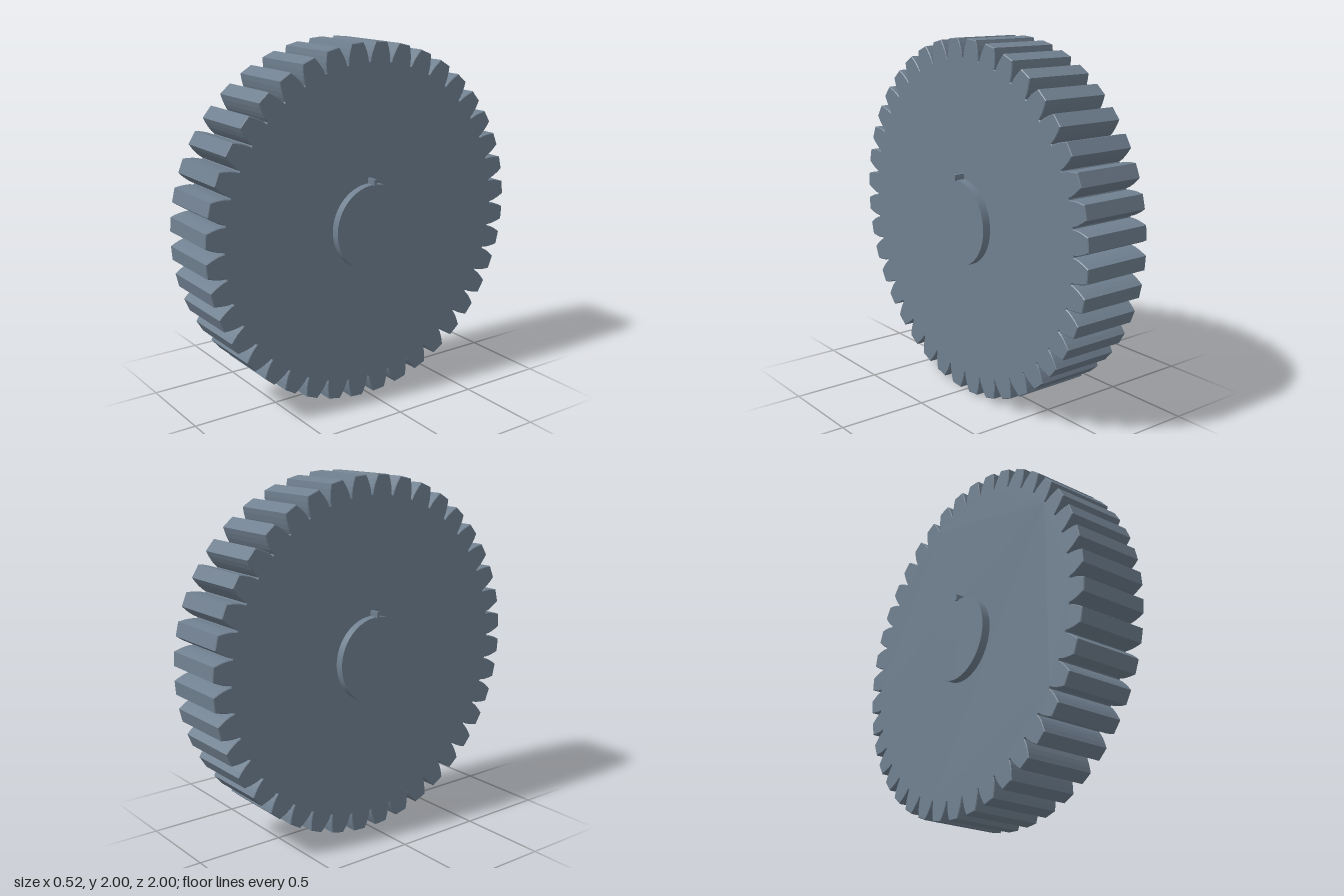
import * as THREE from 'three';

const TEETH = 40;
const TIP = 1, BASE = 0.895;
const TIP_HALF = THREE.MathUtils.degToRad(2.2);
const HALF_WIDTH = 0.2, BEVEL = 0.004;

// Involute function of the pressure angle at radius r
function involute(r) {
  const a = Math.acos(Math.min(1, BASE / r));
  return Math.tan(a) - a;
}

// Half of a tooth's angular width at radius r
const toothHalf = r => TIP_HALF + involute(TIP) - involute(r);

// Outline of the toothed wheel, with gaps on the axes
function gearShape() {
  const radii = [BASE, 0.92, 0.945, 0.973, TIP];
  const points = [];
  const add = (r, a) => points.push(new THREE.Vector2(r * Math.cos(a), r * Math.sin(a)));
  for (let i = 0; i < TEETH; i++) {
    const mid = (i + 0.5) * 2 * Math.PI / TEETH;
    radii.forEach(r => add(r, mid - toothHalf(r)));
    [...radii].reverse().forEach(r => add(r, mid + toothHalf(r)));
  }
  return new THREE.Shape(points);
}

export function createModel() {
  const group = new THREE.Group();
  group.name = 'gear';
  const steel = new THREE.MeshStandardMaterial({ color: 0x708090 });
  steel.name = 'slate steel';

  const addPart = (name, geometry, y) => {
    const mesh = new THREE.Mesh(geometry, steel);
    mesh.name = name;
    mesh.position.y = y;
    group.add(mesh);
  };

  // Spur wheel, axle along x, with a fine edge break on both faces
  const depth = 2 * (HALF_WIDTH - BEVEL);
  const wheel = new THREE.ExtrudeGeometry(gearShape(), {
    depth, bevelEnabled: true, bevelSegments: 1,
    bevelThickness: BEVEL, bevelSize: BEVEL, bevelOffset: -BEVEL,
  });
  wheel.translate(0, 0, -depth / 2).rotateY(Math.PI / 2);
  addPart('toothedWheel', wheel, 1);

  // Shaft showing on both sides
  addPart('shaft', new THREE.CylinderGeometry(0.24, 0.24, 0.494, 96).rotateZ(Math.PI / 2), 1);

  // Key on top of the shaft
  addPart('shaftKey', new THREE.BoxGeometry(0.52, 0.034, 0.016), 1.253);

  return group;
}
